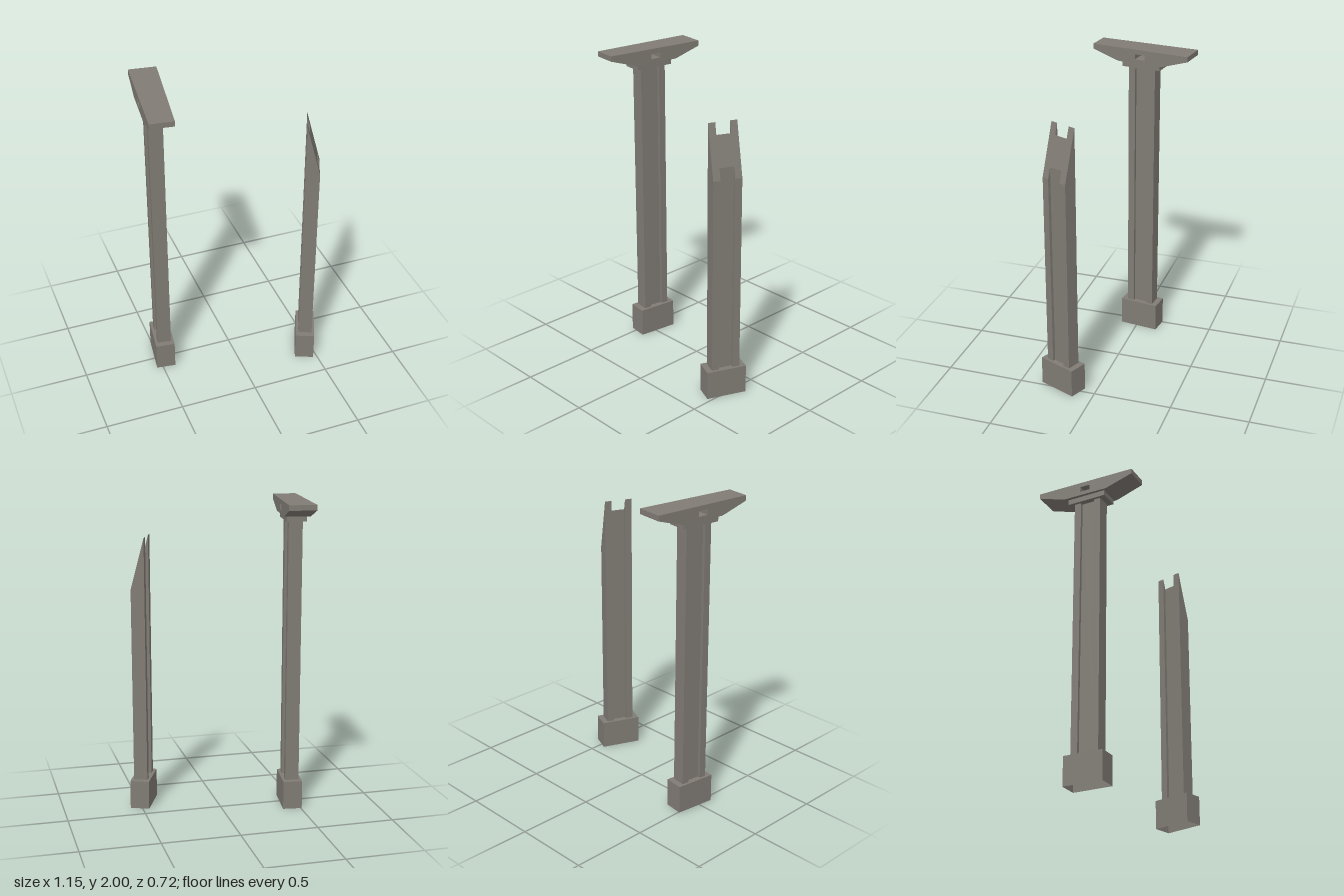
import * as THREE from 'three';

const stone = new THREE.MeshStandardMaterial({ color: 0x807b74, side: THREE.DoubleSide });
stone.name = 'grey stone';

const BASE_TOP = 0.185, SHAFT_TOP = 1.875, CAP_TOP = 1.91;

function mesh(name, geometry) {
  const m = new THREE.Mesh(geometry, stone);
  m.name = name;
  return m;
}

function polygon(points) {
  return new THREE.Shape(points.map(([x, y]) => new THREE.Vector2(x, y)));
}

// Move every vertex by a rule, then refresh the flat normals
function reshape(geometry, rule) {
  const p = geometry.attributes.position, v = new THREE.Vector3();
  for (let i = 0; i < p.count; i++) {
    rule(v.fromBufferAttribute(p, i));
    p.setXYZ(i, v.x, v.y, v.z);
  }
  geometry.computeVertexNormals();
  return geometry;
}

// Plinth block, open underneath
function plinth() {
  const g = new THREE.BoxGeometry(0.123, BASE_TOP, 0.257);
  const index = Array.from(g.index.array);
  index.splice(18, 6); // drop the bottom face
  g.setIndex(index);
  g.clearGroups();
  g.translate(0, BASE_TOP / 2, 0);
  return mesh('plinth', g);
}

// H-section shaft; topAt gives the height of the top at each x
function shaft(topAt) {
  const f = 0.044, w = 0.025, d = 0.091, i = 0.046;
  const section = polygon([
    [-f, -d], [f, -d], [f, -i], [w, -i], [w, i], [f, i],
    [f, d], [-f, d], [-f, i], [-w, i], [-w, -i], [-f, -i],
  ]);
  const g = new THREE.ExtrudeGeometry(section, { depth: 1, bevelEnabled: false });
  g.rotateX(-Math.PI / 2);
  reshape(g, (v) => { v.y = v.y > 0.5 ? topAt(v.x) : BASE_TOP; });
  return mesh('shaft', g);
}

// Flat slab between shaft and beam
function capital() {
  const h = CAP_TOP - SHAFT_TOP;
  const g = new THREE.BoxGeometry(0.123, h, 0.257);
  g.translate(0, SHAFT_TOP + h / 2, 0);
  return mesh('capital', g);
}

// Bracket beam with sloped undersides, a square socket and a slight taper
function beam() {
  const profile = polygon([
    [-0.148, CAP_TOP], [0.148, CAP_TOP], [0.327, 1.967],
    [0.327, 2], [-0.327, 2], [-0.327, 1.967],
  ]);
  const s = 0.033;
  profile.holes.push(new THREE.Path(
    [[-s, 1.936], [-s, 1.969], [s, 1.969], [s, 1.936]].map(([x, y]) => new THREE.Vector2(x, y)),
  ));
  const g = new THREE.ExtrudeGeometry(profile, { depth: 1, bevelEnabled: false });
  g.translate(0, 0, -0.5);
  g.rotateY(-Math.PI / 2);
  reshape(g, (v) => { v.x *= 0.16 - 0.0367 * v.z; });
  return mesh('beam', g);
}

function pillar(name, x, z, degrees, parts) {
  const group = new THREE.Group();
  group.name = name;
  group.add(...parts);
  group.position.set(x, 0, z);
  group.rotation.y = THREE.MathUtils.degToRad(degrees);
  return group;
}

export function createModel() {
  const model = new THREE.Group();
  model.name = 'ruined pillars';
  model.add(
    pillar('whole pillar', -0.4625, -0.025, -7.5,
      [plinth(), shaft(() => SHAFT_TOP), capital(), beam()]),
    // The broken shaft is sheared off along one steep plane
    pillar('broken pillar', 0.467, 0.219, -22.8,
      [plinth(), shaft((x) => 1.605 - 3.75 * x)]),
  );
  return model;
}
